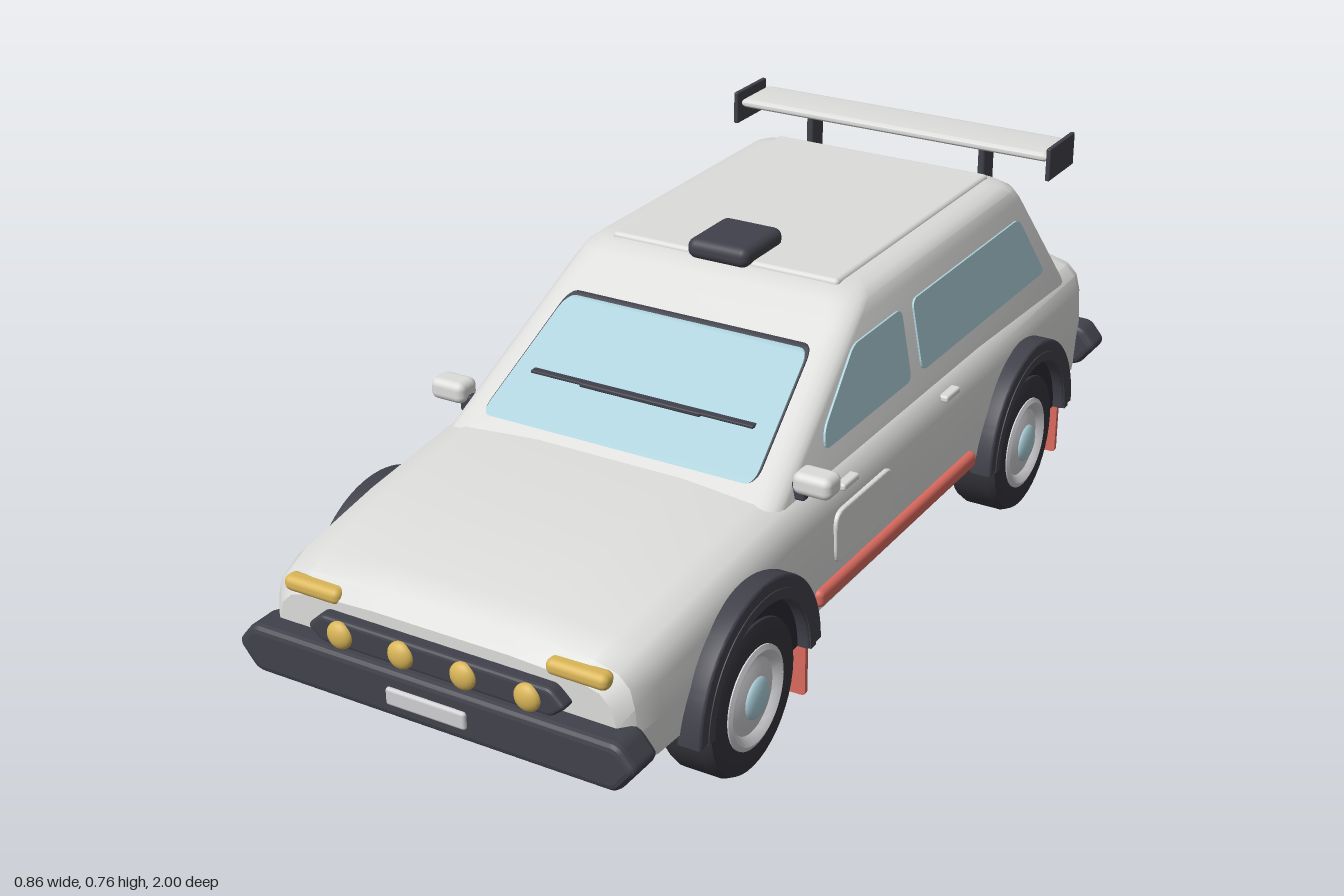
import * as THREE from 'three';
import { toCreasedNormals } from 'three/addons/utils/BufferGeometryUtils.js';
import { RoundedBoxGeometry } from 'three/addons/geometries/RoundedBoxGeometry.js';

const material = (name, color) => new THREE.MeshStandardMaterial({ name, color });

// Closed rings of equal length joined into a capped skin
function loft(rings, crease = 0.6) {
  const n = rings[0].length, pos = [], idx = [];
  rings.forEach(r => r.forEach(p => pos.push(...p)));
  for (let i = 0; i < rings.length - 1; i++) for (let j = 0; j < n; j++) {
    const k = (j + 1) % n, a = i * n + j, b = i * n + k;
    idx.push(a, b, b + n, a, b + n, a + n);
  }
  [0, rings.length - 1].forEach((ri, end) => {
    const c = pos.length / 3, mid = [0, 1, 2].map(k => rings[ri].reduce((s, p) => s + p[k], 0) / n);
    pos.push(...mid);
    for (let j = 0; j < n; j++) {
      const a = ri * n + j, b = ri * n + (j + 1) % n;
      idx.push(...(end ? [c, a, b] : [c, b, a]));
    }
  });
  const g = new THREE.BufferGeometry();
  g.setAttribute('position', new THREE.Float32BufferAttribute(pos, 3));
  g.setIndex(idx);
  return toCreasedNormals(g, crease);
}

// Polygon with rounded corners
function roundedShape(pts, r) {
  const s = new THREE.Shape(), v = pts.map(p => new THREE.Vector2(...p)), n = v.length;
  v.forEach((p, i) => {
    const toward = q => p.clone().add(q.clone().sub(p).setLength(r));
    const a = toward(v[(i + n - 1) % n]), b = toward(v[(i + 1) % n]);
    if (i) s.lineTo(a.x, a.y);
    else s.moveTo(a.x, a.y);
    s.quadraticCurveTo(p.x, p.y, b.x, b.y);
  });
  s.closePath();
  return s;
}

const extrude = (shape, depth, bevel = 0, curveSegments = 8) => new THREE.ExtrudeGeometry(shape, {
  depth, curveSegments, bevelEnabled: bevel > 0, bevelSize: bevel, bevelThickness: bevel, bevelOffset: -bevel, bevelSegments: 3 });

function box(x0, x1, y0, y1, z0, z1, r = 0.008) {
  return new RoundedBoxGeometry(x1 - x0, y1 - y0, z1 - z0, 3, r)
    .translate((x0 + x1) / 2, (y0 + y1) / 2, (z0 + z1) / 2);
}

// Copy to the other side of the car, keeping faces outward
function mirrored(g) {
  const m = g.index ? g.toNonIndexed() : g.clone();
  m.scale(-1, 1, 1);
  for (const a of Object.values(m.attributes)) for (let i = 0; i < a.count; i += 3)
    for (let k = 0; k < a.itemSize; k++) {
      const t = a.getComponent(i + 1, k);
      a.setComponent(i + 1, k, a.getComponent(i + 2, k));
      a.setComponent(i + 2, k, t);
    }
  return m;
}

// Move vertices by a rule
function bend(g, rule) {
  const p = g.attributes.position;
  for (let i = 0; i < p.count; i++) p.setXYZ(i, ...rule(p.getX(i), p.getY(i), p.getZ(i)));
  return toCreasedNormals(g, 0.6);
}

export function createModel() {
  const car = new THREE.Group();
  car.name = 'rallyCar';
  const paint = material('bodyPaint', 0xdcdcdb), dark = material('darkTrim', 0x41414b),
    tyreMat = material('tyreRubber', 0x36363d), under = material('underside', 0x2b2b32),
    glass = material('glass', 0xacd0da), red = material('red', 0xdb6a5f),
    amber = material('amberLamp', 0xd9b558), metal = material('lightMetal', 0xcfcfd2);

  const add = (name, g, m) => {
    const mesh = new THREE.Mesh(g, m);
    mesh.name = name;
    car.add(mesh);
  };
  const pair = (name, g, m) => { add(name + 'Left', g, m); add(name + 'Right', mirrored(g), m); };

  // Lower body: z, half width, bottom, top
  const sections = [
    [-0.94, 0.34, 0.22, 0.42], [-0.925, 0.362, 0.18, 0.442], [-0.89, 0.372, 0.17, 0.45],
    [-0.4, 0.385, 0.17, 0.45], [0.43, 0.388, 0.17, 0.447], [0.67, 0.385, 0.17, 0.424],
    [0.86, 0.378, 0.17, 0.398], [0.92, 0.37, 0.175, 0.38], [0.945, 0.35, 0.19, 0.35]];
  add('lowerBody', loft(sections.map(([z, w, b, t]) => {
    const half = [[w - 0.03, b], [w - 0.006, b + 0.02], [w, (b + t) / 2 - 0.02], [w - 0.004, t - 0.075],
      [w - 0.013, t - 0.04], [w - 0.035, t - 0.018], [w - 0.08, t - 0.006], [w * 0.4, t]];
    return [...half, ...half.map(([x, y]) => [-x, y]).reverse()].map(([x, y]) => [x, y, z]);
  })), paint);

  // Cabin: y, front z, rear z, half width, corner radius
  const cabin = [
    [0.4, 0.503, -0.88, 0.359, 0.05], [0.445, 0.43, -0.848, 0.351, 0.05], [0.65, 0.096, -0.707, 0.313, 0.05],
    [0.675, 0.064, -0.69, 0.305, 0.055], [0.689, 0.04, -0.67, 0.288, 0.055], [0.694, 0.01, -0.645, 0.262, 0.05]];
  add('cabin', loft(cabin.map(([y, f, b, w, r]) => {
    const ring = [], corners = [[w - r, -b - r], [r - w, -b - r], [r - w, r - f], [w - r, r - f]];
    corners.forEach(([x, u], q) => {
      for (let k = 0; k <= 5; k++) {
        const a = (q + k / 5) * Math.PI / 2;
        ring.push([x + r * Math.cos(a), y, -(u + r * Math.sin(a))]);
      }
    });
    return ring;
  })), paint);
  add('roofPanel', box(-0.248, 0.248, 0.68, 0.701, -0.65, 0.02, 0.009), paint);
  add('roofVent', box(-0.067, 0.067, 0.69, 0.731, -0.105, 0.045, 0.018), dark);

  // Window plates laid on the sloping cabin faces
  const sideX = y => 0.351 - 0.185 * (y - 0.445);
  const frontZ = y => 0.43 - 1.629 * (y - 0.445);
  const rearZ = y => -0.848 + 0.688 * (y - 0.445);
  const onSide = g => bend(g.rotateY(Math.PI / 2), (x, y, z) => [sideX(y) + x, y, z]);
  const pane = pts => extrude(roundedShape(pts, 0.02), 0.004);
  const sidePane = pts => onSide(pane(pts.map(([z, y]) => [-z, y])));
  pair('frontSideWindow', sidePane([[0.25, 0.474], [-0.1, 0.474], [-0.1, 0.617], [0.095, 0.617], [0.24, 0.51]]), glass);
  pair('rearSideWindow', sidePane([[-0.148, 0.474], [-0.735, 0.474], [-0.645, 0.617], [-0.148, 0.617]]), glass);
  const screen = [[-0.292, 0.461], [0.292, 0.461], [0.262, 0.617], [-0.262, 0.617]];
  const seal = screen.map(([x, y]) => [x * 1.008, y > 0.5 ? y + 0.005 : y]);
  add('windscreenSeal', bend(pane(seal), (x, y, z) => [x, y, frontZ(y) + z]), dark);
  add('windscreen', bend(pane(screen), (x, y, z) => [x, y, frontZ(y) + z + 0.004]), glass);
  add('rearWindow', bend(pane([[-0.285, 0.468], [0.285, 0.468], [0.26, 0.615], [-0.26, 0.615]]).rotateY(Math.PI),
    (x, y, z) => [x, y, rearZ(y) + z]), glass);
  add('wiper', box(-0.24, 0.24, 0.52, 0.526, frontZ(0.523), frontZ(0.523) + 0.018, 0.002), dark);
  add('wiperSpine', box(-0.13, 0.13, 0.517, 0.526, frontZ(0.523), frontZ(0.523) + 0.02, 0.003), dark);

  // Bumpers with pointed ends
  const bumper = [[-0.41, 0.235], [-0.37, 0.185], [0.37, 0.185], [0.41, 0.235], [0.375, 0.277], [-0.375, 0.277]];
  add('frontBumper', extrude(roundedShape(bumper, 0.015), 0.05, 0.014).translate(0, 0, 0.927), dark);
  add('rearBumper', extrude(roundedShape(bumper, 0.015), 0.04, 0.014).translate(0, 0.006, -0.961), dark);
  add('frontPlate', box(-0.082, 0.082, 0.213, 0.247, 0.98, 0.998, 0.006), metal);
  add('rearPlate', box(-0.08, 0.08, 0.303, 0.335, -0.95, -0.93, 0.006), metal);

  // Lamp bar, lamps and lights
  const bar = [[-0.265, 0.3], [-0.235, 0.275], [0.235, 0.275], [0.265, 0.3], [0.235, 0.328], [-0.235, 0.328]];
  add('lampBar', extrude(roundedShape(bar, 0.01), 0.03, 0.008).translate(0, 0, 0.933), dark);
  for (const x of [0.064, 0.192]) pair('spotLamp',
    new THREE.SphereGeometry(0.026, 20, 12).scale(1, 1, 0.6).translate(x, 0.301, 0.97), amber);
  pair('headlight', box(0.21, 0.33, 0.337, 0.367, 0.915, 0.95, 0.013), amber);
  pair('tailLight', box(0.235, 0.33, 0.345, 0.405, -0.95, -0.92, 0.01), red);

  // Side details
  pair('sideStripe', box(0.37, 0.398, 0.205, 0.241, -0.32, 0.345, 0.012), red);
  pair('doorPanel', extrude(roundedShape([[-0.28, 0.262], [-0.052, 0.262], [-0.052, 0.37], [-0.28, 0.37]], 0.03), 0.012, 0.004)
    .rotateY(Math.PI / 2).translate(0.376, 0, 0), paint);
  for (const z of [0.215, -0.215]) pair('doorHandle', box(0.365, 0.388, 0.398, 0.412, z - 0.03, z + 0.03, 0.005), paint);
  pair('mirror', box(0.353, 0.43, 0.449, 0.492, 0.333, 0.388, 0.015), paint);
  pair('mirrorStem', box(0.345, 0.372, 0.43, 0.465, 0.35, 0.37, 0.005), dark);

  // Rear wing, thinner towards its tips
  add('wingBlade', bend(new RoundedBoxGeometry(0.73, 0.032, 0.125, 4, 0.015), (x, y, z) =>
    [x, 0.744 + y * (1 - 0.45 * Math.max(0, Math.abs(x) - 0.26) / 0.105), z - 0.742]), paint);
  pair('wingEndPlate', box(0.364, 0.374, 0.7, 0.77, -0.798, -0.67, 0.003), dark);
  pair('wingSupport', box(0.196, 0.212, 0.645, 0.738, -0.757, -0.705, 0.006), dark);

  // Underside and exhaust
  add('chassis', box(-0.28, 0.28, 0.132, 0.18, -0.75, 0.77, 0.004), under);
  add('skidPlate', box(-0.272, 0.272, 0.12, 0.15, -0.7, 0.72, 0.006), under);
  add('exhaust', new THREE.CylinderGeometry(0.014, 0.014, 0.14, 20).rotateX(Math.PI / 2).translate(-0.23, 0.182, -0.93), metal);

  // Wheels, arches and mudflaps; lathe profiles are radius, x
  const lathe = (pts, z) => toCreasedNormals(new THREE.LatheGeometry(pts.map(p => new THREE.Vector2(...p)), 40)
    .rotateZ(-Math.PI / 2).translate(0.345, 0.155, z), 0.7);
  const arch = (ro, ri) => {
    const s = new THREE.Shape();
    s.absarc(0, 0, ro, 0, Math.PI, false);
    s.lineTo(-ri, 0);
    s.absarc(0, 0, ri, Math.PI, 0, true);
    s.closePath();
    return s;
  };
  for (const [end, z, flapZ] of [['front', 0.587, 0.375], ['rear', -0.563, -0.775]]) {
    pair(end + 'Tyre', lathe([[0, -0.055], [0.12, -0.055], [0.143, -0.05], [0.15, -0.035], [0.15, 0.035],
      [0.143, 0.05], [0.12, 0.056], [0.098, 0.054], [0.092, 0.04], [0, 0.04]], z), tyreMat);
    pair(end + 'Rim', lathe([[0.097, 0.04], [0.097, 0.056], [0.088, 0.06], [0.078, 0.054], [0.072, 0.047],
      [0.06, 0.05], [0.045, 0.056], [0, 0.056]], z), metal);
    pair(end + 'Hub', new THREE.SphereGeometry(0.04, 24, 14).scale(0.35, 1, 1).translate(0.4, 0.155, z), glass);
    const place = (g, x) => toCreasedNormals(g.rotateY(Math.PI / 2).translate(x, 0.17, z), 0.6);
    const well = new THREE.Shape();
    well.absarc(0, 0, 0.19, 0, Math.PI, false);
    pair(end + 'WheelWell', place(extrude(well, 0.008, 0, 32), 0.383), under);
    pair(end + 'ArchFlare', place(extrude(arch(0.212, 0.165), 0.037, 0.005, 32), 0.373), dark);
    pair(end + 'ArchLip', place(extrude(arch(0.187, 0.168), 0.05, 0, 32), 0.367), dark);
    const flap = roundedShape([[0.283, 0.04], [0.385, 0.04], [0.385, 0.18], [0.29, 0.18], [0.274, 0.1]], 0.008);
    pair(end + 'Mudflap', extrude(flap, 0.01).translate(0, 0, flapZ - 0.005), red);
  }
  return car;
}
